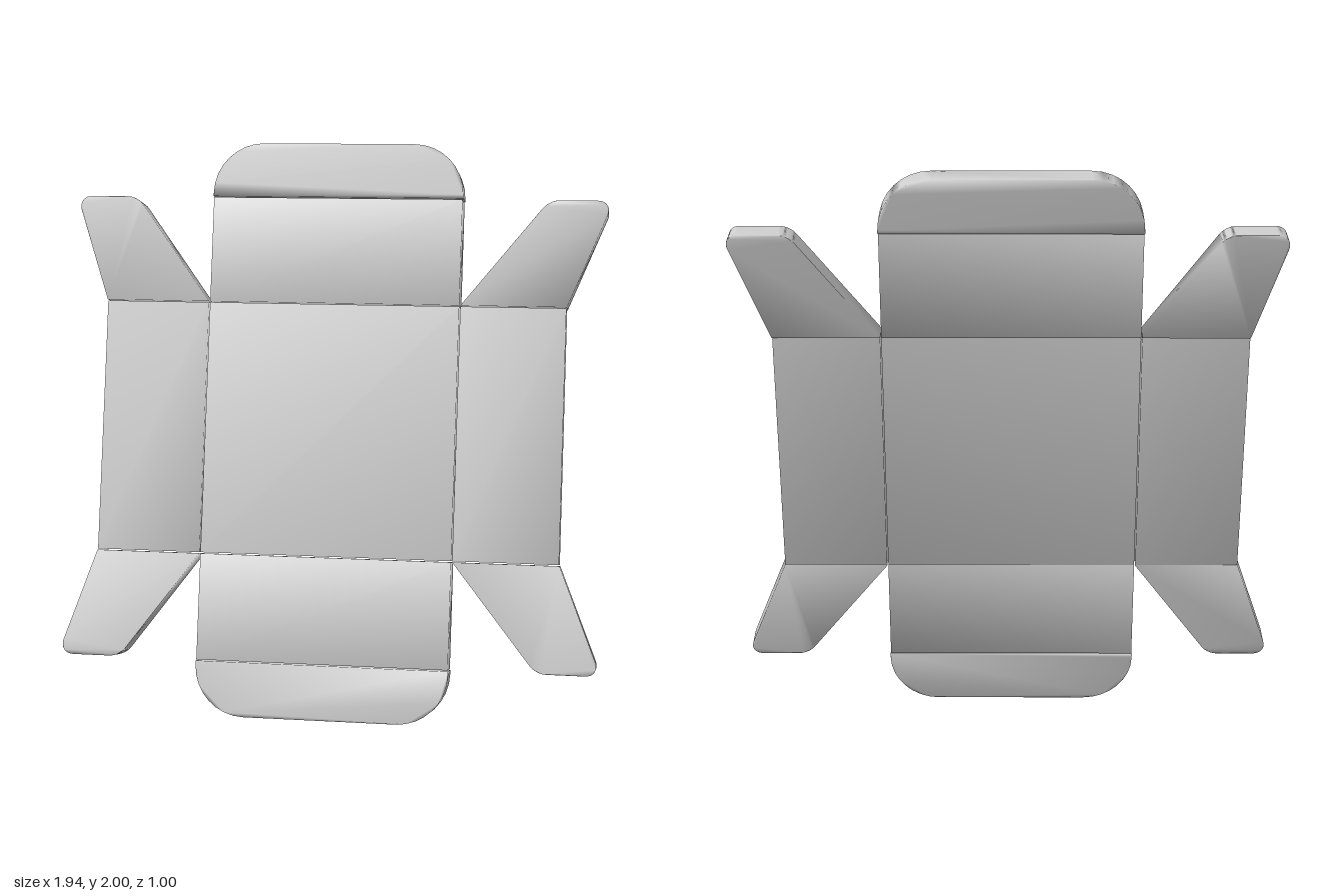
import * as THREE from 'three';
import { mergeVertices } from 'three/addons/utils/BufferGeometryUtils.js';

const THICK = 0.09;   // board thickness
const HALF = 0.447;   // half size of the square base
const GAP = 0.002;    // half of the fold line gap
const SHIFT = -0.012; // panels sit slightly off centre

const material = new THREE.MeshStandardMaterial({ color: 0xcccccc });

// Flat board from an outline; each corner is [x, y, rounding]
function board(name, corners) {
  const pts = corners.map(([x, y]) => new THREE.Vector2(x, y));
  const shape = new THREE.Shape();
  const n = pts.length;
  pts.forEach((p, i) => {
    const r = corners[i][2] || 0;
    const towards = (q) => p.clone().add(q.clone().sub(p).setLength(r));
    const a = r ? towards(pts[(i + n - 1) % n]) : p;
    const b = r ? towards(pts[(i + 1) % n]) : p;
    if (i === 0) shape.moveTo(a.x, a.y);
    else shape.lineTo(a.x, a.y);
    if (r) {
      // near-circular corner
      const k = 0.55;
      const c1 = a.clone().lerp(p, k), c2 = b.clone().lerp(p, k);
      shape.bezierCurveTo(c1.x, c1.y, c2.x, c2.y, b.x, b.y);
    }
  });
  shape.closePath();
  let geo = new THREE.ExtrudeGeometry(shape, { depth: THICK, bevelEnabled: false, curveSegments: 8 });
  geo.translate(0, 0, -THICK / 2);
  // shared corners give the soft, padded shading
  geo.deleteAttribute('normal');
  geo.deleteAttribute('uv');
  geo = mergeVertices(geo, 1e-4);
  geo.computeVertexNormals();
  const mesh = new THREE.Mesh(geo, material);
  mesh.name = name;
  return mesh;
}

// Axis-aligned rectangular panel
function panel(name, x0, x1, y0, y1) {
  return board(name, [
    [x0 + GAP, y0 + GAP], [x1 - GAP, y0 + GAP],
    [x1 - GAP, y1 - GAP], [x0 + GAP, y1 - GAP],
  ]);
}

export function createModel() {
  const net = new THREE.Group();
  net.name = 'unfoldedBox';

  const panels = new THREE.Group();
  panels.name = 'panels';
  panels.position.x = SHIFT;
  net.add(panels);

  panels.add(panel('basePanel', -HALF, HALF, -HALF, HALF));

  for (const sx of [1, -1]) {
    // side walls
    const inner = sx * HALF, outer = sx * 0.82;
    panels.add(panel(sx > 0 ? 'leftWall' : 'rightWall',
      Math.min(inner, outer), Math.max(inner, outer), -HALF, HALF));
  }

  for (const sy of [1, -1]) {
    const end = sy > 0 ? 'top' : 'bottom';
    // end wall
    const a = sy * HALF, b = sy * 0.825;
    panels.add(panel(end + 'Wall', -HALF, HALF, Math.min(a, b), Math.max(a, b)));

    // rounded tuck flap
    const tuck = [
      [-HALF, 0.825 + GAP], [HALF, 0.825 + GAP],
      [HALF, 1.018, 0.178], [-HALF, 1.018, 0.178],
    ].map(([x, y, r]) => [x, y * sy, r]);
    panels.add(board(end + 'TuckFlap', sy > 0 ? tuck : tuck.reverse()));

    // slanted glue tabs on the side walls
    for (const sx of [1, -1]) {
      const tab = [
        [HALF + SHIFT * sx + GAP, HALF + GAP], [0.82 + SHIFT * sx, HALF + GAP],
        [0.96, 0.823, 0.055], [0.737, 0.823, 0.035],
      ].map(([x, y, r]) => [x * sx, y * sy, r]);
      net.add(board(end + (sx > 0 ? 'Left' : 'Right') + 'Tab', sx * sy > 0 ? tab : tab.reverse()));
    }
  }

  // lean back and turn
  net.rotation.order = 'YXZ';
  net.rotation.set(THREE.MathUtils.degToRad(-13.5), THREE.MathUtils.degToRad(17.4), 0);
  net.position.y = 1;

  const model = new THREE.Group();
  model.name = 'model';
  model.add(net);
  return model;
}
